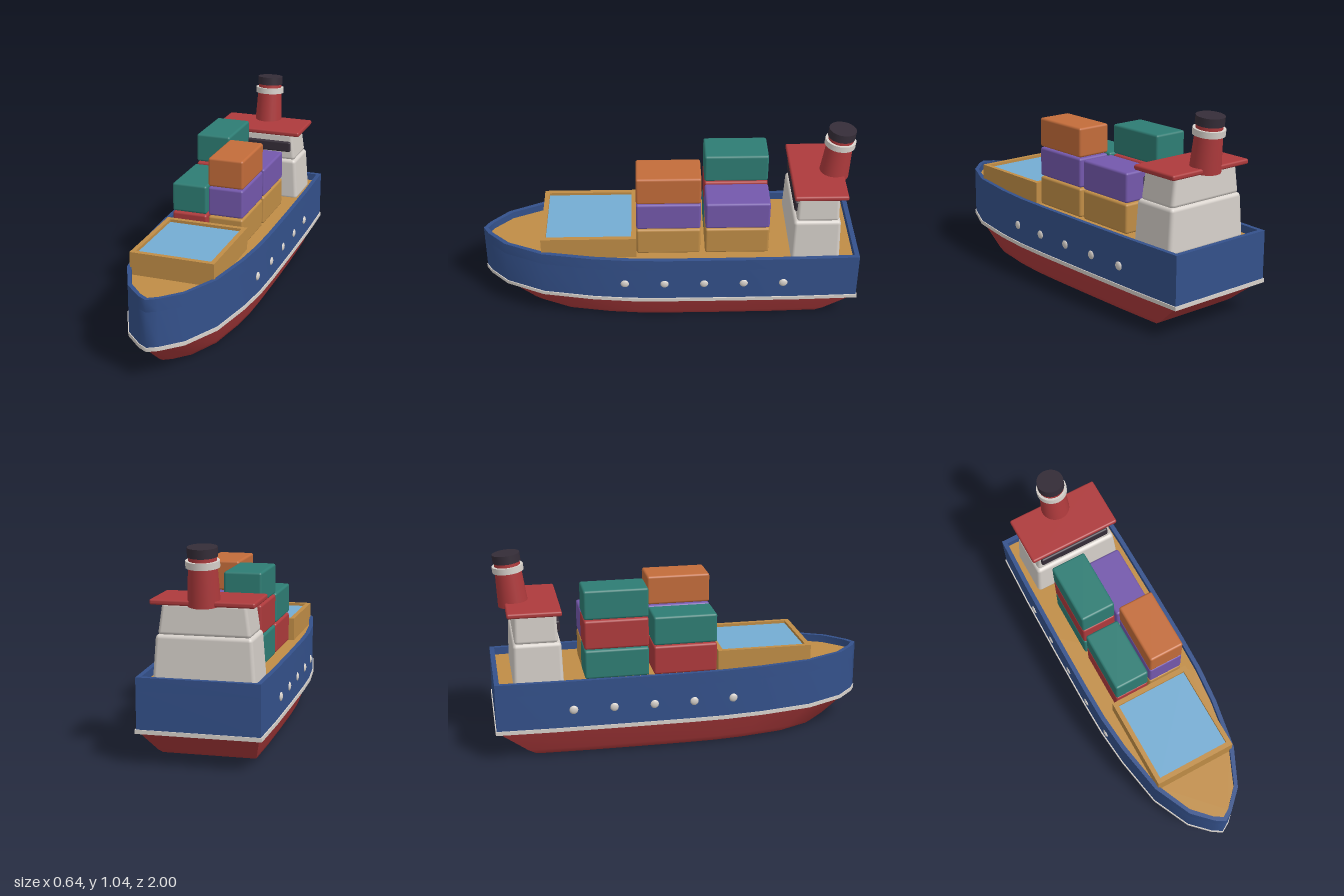
import * as THREE from 'three';
import { toCreasedNormals } from 'three/addons/utils/BufferGeometryUtils.js';
import { RoundedBoxGeometry } from 'three/addons/geometries/RoundedBoxGeometry.js';

const mat = (name, color) => new THREE.MeshStandardMaterial({ name, color });

// Half outline of the hull seen from above: [x, z] from stern to bow
const HALF = [[0.298, -0.995], [0.307, -0.7], [0.31, -0.35], [0.31, 0], [0.305, 0.2], [0.286, 0.4],
  [0.238, 0.67], [0.145, 0.87], [0.05, 0.965], [0, 0.995]];
const OUTLINE = [...HALF, ...HALF.slice(0, -1).reverse().map(([x, z]) => [-x, z])];
const scaled = (sx, sz) => OUTLINE.map(([x, z]) => new THREE.Vector2(x * sx, z * sz));

// Slab with the hull outline between two heights, optionally hollow
function slab(bottom, top, sx = 1, sz = 1, hollow = false) {
  const shape = new THREE.Shape(scaled(sx, sz));
  if (hollow) shape.holes.push(new THREE.Path(scaled(0.925, 0.975)));
  const geo = new THREE.ExtrudeGeometry(shape, { depth: top - bottom, bevelEnabled: false });
  geo.rotateX(Math.PI / 2).translate(0, top, 0);
  return toCreasedNormals(geo, 1.2);
}

// Underwater hull: outline rings that shrink towards a flat bottom
function keelGeometry() {
  const levels = [[0.158, 0.965, 0.988], [0.035, 0.815, 0.84], [0.01, 0.775, 0.8], [0, 0.72, 0.76]];
  const pos = [], index = [], n = OUTLINE.length;
  for (const [y, sx, sz] of levels) for (const p of scaled(sx, sz)) pos.push(p.x, y, p.y);
  pos.push(0, 0, 0);
  for (let l = 0; l < levels.length - 1; l++) {
    for (let i = 0; i < n; i++) {
      const a = l * n + i, b = l * n + (i + 1) % n;
      index.push(a, b, a + n, b, b + n, a + n);
    }
  }
  const last = (levels.length - 1) * n;
  for (let i = 0; i < n; i++) index.push(last + i, last + (i + 1) % n, levels.length * n);
  // Outline runs from +x to bow to -x, so flip to face outwards
  for (let i = 0; i < index.length; i += 3) [index[i + 1], index[i + 2]] = [index[i + 2], index[i + 1]];
  const geo = new THREE.BufferGeometry();
  geo.setAttribute('position', new THREE.Float32BufferAttribute(pos, 3));
  geo.setIndex(index);
  // Make sure the winding points outwards
  const v = (k) => new THREE.Vector3().fromArray(pos, index[k] * 3);
  const normal = v(1).sub(v(0)).cross(v(2).sub(v(0)));
  if (normal.x * v(0).x < 0) geo.setIndex(index.reverse());
  return toCreasedNormals(geo, 0.85);
}

// Rounded block that narrows towards the top
function taperedBlock(w, h, d, r, topX, topZ) {
  const geo = new RoundedBoxGeometry(w, h, d, 2, r);
  const p = geo.attributes.position;
  for (let i = 0; i < p.count; i++) {
    const t = p.getY(i) / h + 0.5;
    p.setX(i, p.getX(i) * (1 + (topX - 1) * t));
    p.setZ(i, p.getZ(i) * (1 + (topZ - 1) * t));
  }
  return geo;
}

export function createModel() {
  const ship = new THREE.Group();
  ship.name = 'cargoShip';
  const navy = mat('navy', 0x34518b), red = mat('red', 0xae3a3c), white = mat('white', 0xd8d2cc);
  const tan = mat('tan', 0xc08d46), glass = mat('skyBlue', 0x74acd3), dark = mat('charcoal', 0x352d38);
  const teal = mat('teal', 0x2e7d74), purple = mat('purple', 0x7458ac), orange = mat('orange', 0xc36c3a);

  const add = (name, geo, material, x = 0, y = 0, z = 0, parent = ship) => {
    const mesh = new THREE.Mesh(geo, material);
    mesh.name = name;
    mesh.position.set(x, y, z);
    parent.add(mesh);
    return mesh;
  };
  const box = (w, h, d) => new THREE.BoxGeometry(w, h, d);

  // Hull
  add('lowerHull', keelGeometry(), red);
  add('waterlineStripe', slab(0.155, 0.175, 1.018, 1.005), white);
  add('upperHull', slab(0.175, 0.36), navy);
  add('bulwark', slab(0.36, 0.425, 1, 1, true), navy);
  add('deck', slab(0.355, 0.385, 0.93, 0.977), tan);

  // Portholes along both sides
  for (const side of [1, -1]) {
    for (let i = 0; i < 5; i++) {
      const x = i === 0 ? 0.301 : 0.308;
      const hole = add('porthole', new THREE.SphereGeometry(0.023, 12, 8), white, side * x, 0.27, 0.235 - i * 0.209);
      hole.scale.x = 0.45;
    }
  }

  // Cargo hatch: raised frame around a sunken cover
  const hatch = new THREE.Group();
  hatch.name = 'hatch';
  ship.add(hatch);
  for (const side of [1, -1]) {
    add('hatchSide', box(0.024, 0.125, 0.5), tan, side * 0.21, 0.4425, 0.422, hatch);
    add('hatchEnd', box(0.396, 0.125, 0.026), tan, 0, 0.4425, 0.422 + side * 0.237, hatch);
  }
  add('hatchCover', box(0.396, 0.105, 0.448), glass, 0, 0.4375, 0.422, hatch);

  // Container stacks, listed from the bottom up
  const stacks = [
    [0.1, 0.003, [tan, purple, orange]],
    [-0.1, 0.003, [red, teal]],
    [0.1, -0.358, [tan, purple]],
    [-0.1, -0.358, [teal, red, teal]],
  ];
  for (const [x, z, colors] of stacks) {
    colors.forEach((m, i) => {
      add('container', new RoundedBoxGeometry(0.19, 0.155, 0.336, 2, 0.012), m, x, 0.463 + i * 0.16, z);
    });
  }

  // Bridge
  add('lowerCabin', taperedBlock(0.5, 0.235, 0.258, 0.02, 0.93, 0.95), white, 0, 0.4925, -0.768);
  add('upperCabin', taperedBlock(0.45, 0.155, 0.222, 0.018, 0.9, 0.97), white, 0, 0.6825, -0.771);
  add('bridgeWindow', new RoundedBoxGeometry(0.4, 0.06, 0.03, 2, 0.01), dark, 0, 0.685, -0.662);
  add('roof', new RoundedBoxGeometry(0.504, 0.027, 0.277, 2, 0.01), red, 0, 0.767, -0.777);

  // Funnel leaning aft
  const funnel = new THREE.Group();
  funnel.name = 'funnel';
  funnel.position.set(0, 0.76, -0.868);
  funnel.rotation.x = -0.1;
  ship.add(funnel);
  add('funnelBody', new THREE.CylinderGeometry(0.065, 0.078, 0.24, 24), red, 0, 0.115, 0, funnel);
  add('funnelBand', new THREE.CylinderGeometry(0.08, 0.08, 0.032, 24), white, 0, 0.192, 0, funnel);
  add('funnelCap', new THREE.CylinderGeometry(0.071, 0.071, 0.044, 24), dark, 0, 0.248, 0, funnel);

  return ship;
}
